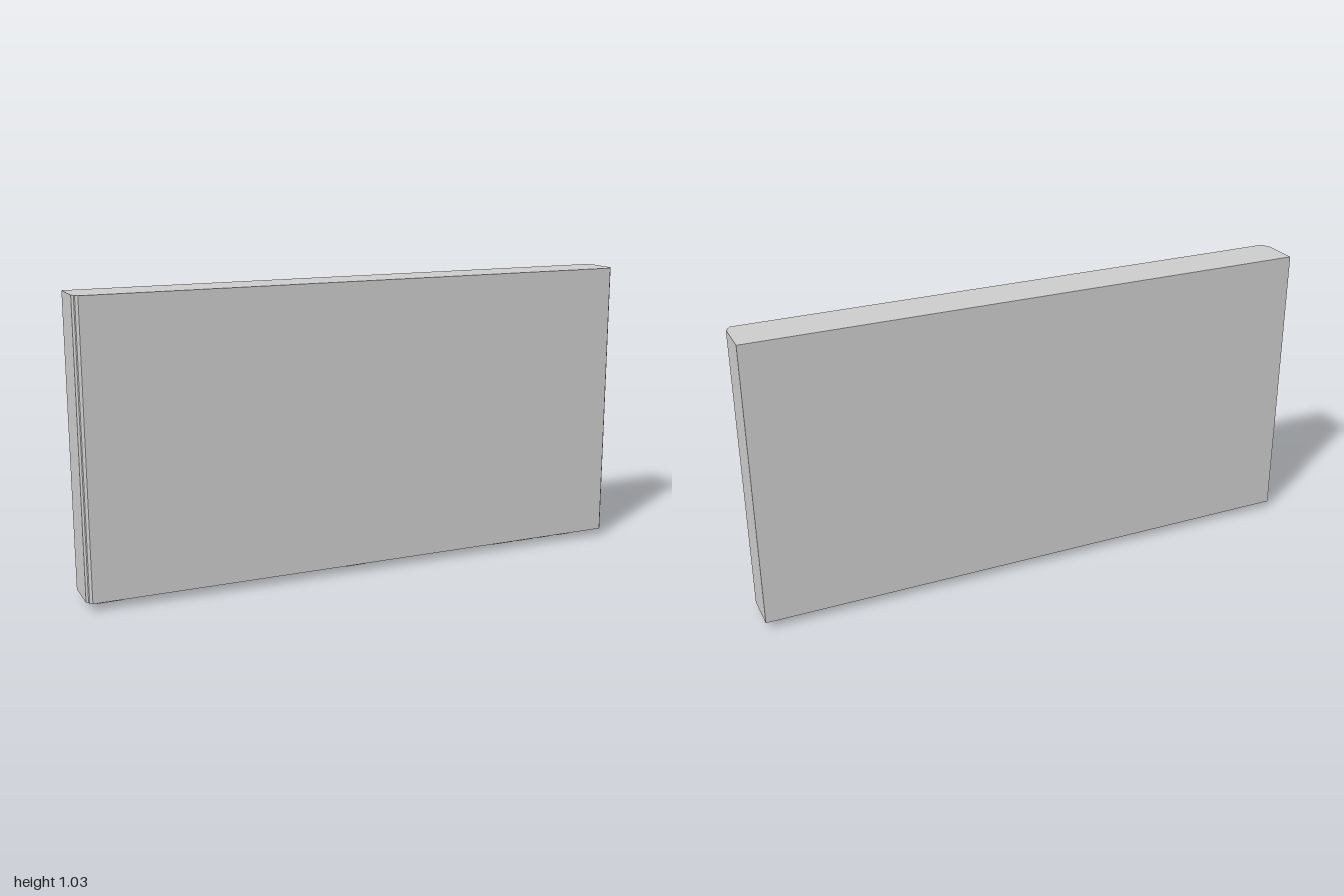
import * as THREE from 'three';

const grey = new THREE.MeshStandardMaterial({ color: 0xcccccc, flatShading: true });
const black = new THREE.MeshStandardMaterial({ color: 0x151515, flatShading: true });

// Half outline as [x, z] from back to front, mirrored in x and raised from y0 to y1
function slab(name, half, y0, y1, material) {
  const outline = [...half, ...half.map(([x, z]) => [-x, z]).reverse()];
  const shape = new THREE.Shape(outline.map(([x, z]) => new THREE.Vector2(x, -z)));
  const geometry = new THREE.ExtrudeGeometry(shape, { depth: y1 - y0, bevelEnabled: false });
  geometry.rotateX(-Math.PI / 2).translate(0, y0, 0);
  const mesh = new THREE.Mesh(geometry, material);
  mesh.name = name;
  return mesh;
}

// Box between two x limits, centred on z = 0
function bar(name, x0, x1, y0, y1, depth) {
  const mesh = new THREE.Mesh(new THREE.BoxGeometry(x1 - x0, y1 - y0, depth), grey);
  mesh.position.set((x0 + x1) / 2, (y0 + y1) / 2, 0);
  mesh.name = name;
  return mesh;
}

export function createModel() {
  const model = new THREE.Group();
  model.name = 'flatPanel';

  // Case with a small step and chamfer on both front corners
  model.add(slab('case', [
    [1, -0.08], [1, 0.057], [0.993, 0.062], [0.991, 0.07], [0.985, 0.076], [0.983, 0.08],
  ], 0.027, 1.03, grey));

  // Dark plate under the case
  model.add(slab('basePlate', [
    [0.99, -0.055], [0.99, 0.05], [0.98, 0.062],
  ], 0.021, 0.027, black));

  // Long strips set into the plate
  model.add(bar('shortStrip', 0.08, 0.41, 0.0202, 0.026, 0.048));
  model.add(bar('longStrip', -0.81, -0.09, 0.0202, 0.026, 0.042));

  // Row of small connectors
  const connectors = [
    [-0.955, -0.87], [-0.06, 0.02], [0.55, 0.635],
    [0.655, 0.725], [0.75, 0.805], [0.83, 0.89],
  ];
  connectors.forEach(([x0, x1], i) => model.add(bar(`connector${i + 1}`, x0, x1, 0, 0.025, 0.025)));

  return model;
}
